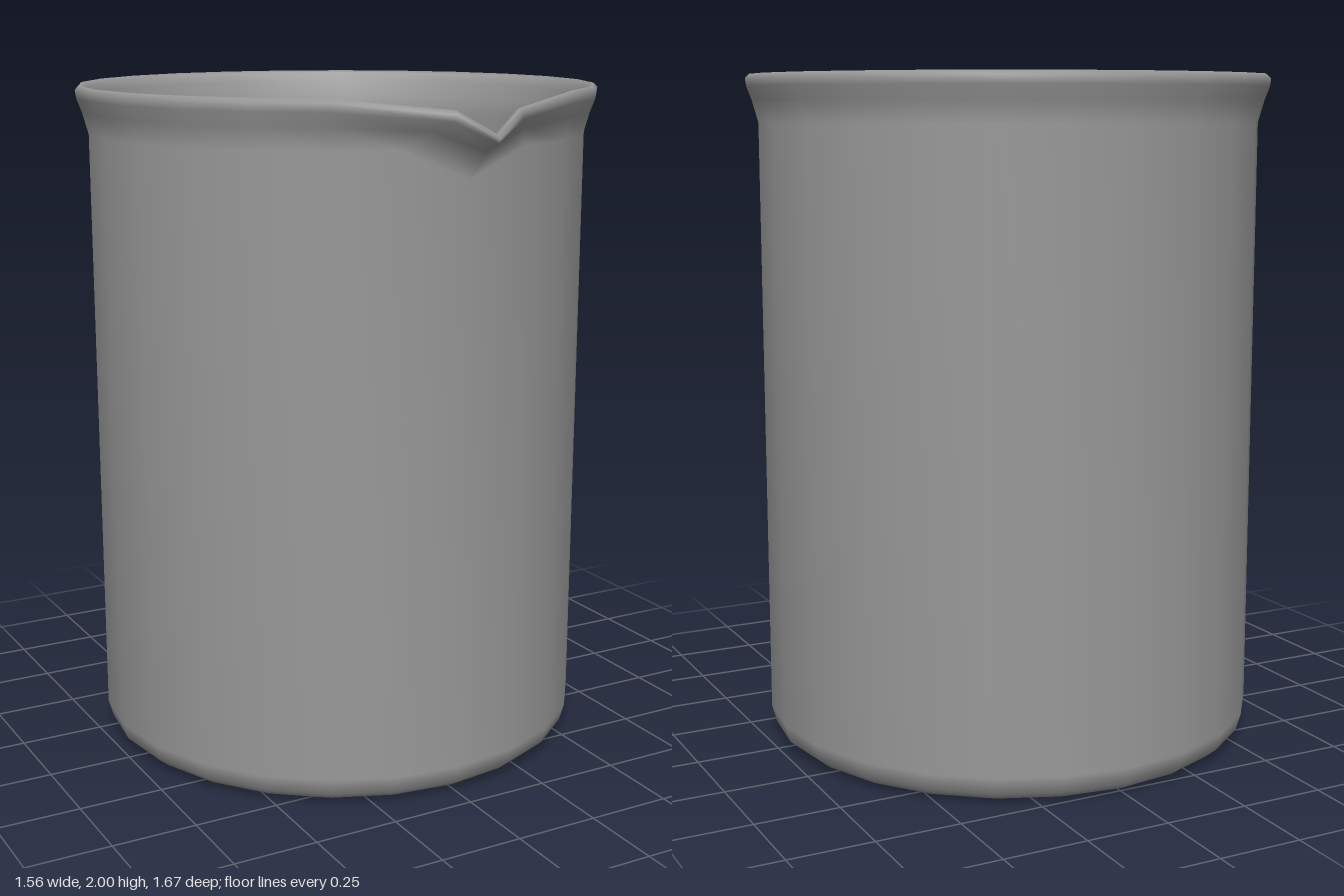
import * as THREE from 'three';
import { mergeVertices } from 'three/addons/utils/BufferGeometryUtils.js';

const SEGMENTS = 24;
const CENTRE_Z = -0.055;

// Wall section from the underside, up the outside, over the rim and down the inside:
// radius, height, outward pull of the spout, drop of the spout
const PROFILE = [
  [0, 0, 0, 0],
  [0.64, 0, 0, 0],
  [0.7, 0.01, 0, 0],
  [0.73, 0.035, 0, 0],
  [0.744, 0.085, 0, 0],
  [0.744, 1.86, 0, 0.08],
  [0.762, 1.925, 0.6, 0.065],
  [0.777, 1.965, 0.95, 0.08],
  [0.78, 1.988, 1, 0.092],
  [0.768, 2, 1, 0.092],
  [0.75, 1.993, 0.95, 0.092],
  [0.738, 1.965, 0.8, 0.08],
  [0.728, 1.92, 0.5, 0.06],
  [0.714, 1.86, 0, 0.05],
  [0.714, 0.1, 0, 0],
  [0.695, 0.05, 0, 0],
  [0.63, 0.03, 0, 0],
  [0, 0.03, 0, 0],
];

function createBeakerGeometry() {
  const points = PROFILE.map(([r, y]) => new THREE.Vector2(r, y));
  let geometry = new THREE.LatheGeometry(points, SEGMENTS);
  const pos = geometry.attributes.position;

  // Pinch the front columns of the rim into a pouring spout
  for (let i = 0; i < pos.count; i++) {
    const column = Math.floor(i / PROFILE.length) % SEGMENTS;
    const [, , pull, drop] = PROFILE[i % PROFILE.length];
    const fromFront = Math.min(column, SEGMENTS - column);
    let x = pos.getX(i), y = pos.getY(i), z = pos.getZ(i);
    if (fromFront === 0) {
      y -= drop;
      z += 0.107 * pull;
    } else if (fromFront === 1) {
      x *= 1 - 0.5 * pull;
      y -= 0.32 * drop * pull;
      z += 0.087 * pull;
    }
    pos.setXYZ(i, x, y, z + CENTRE_Z);
  }

  // Weld the seam so the shading is continuous
  geometry.deleteAttribute('normal');
  geometry.deleteAttribute('uv');
  geometry = mergeVertices(geometry, 1e-4);
  geometry.computeVertexNormals();
  return geometry;
}

export function createModel() {
  const group = new THREE.Group();
  group.name = 'beaker';
  const material = new THREE.MeshStandardMaterial({ color: 0x999999 });
  const vessel = new THREE.Mesh(createBeakerGeometry(), material);
  vessel.name = 'spoutedVessel';
  group.add(vessel);
  return group;
}
